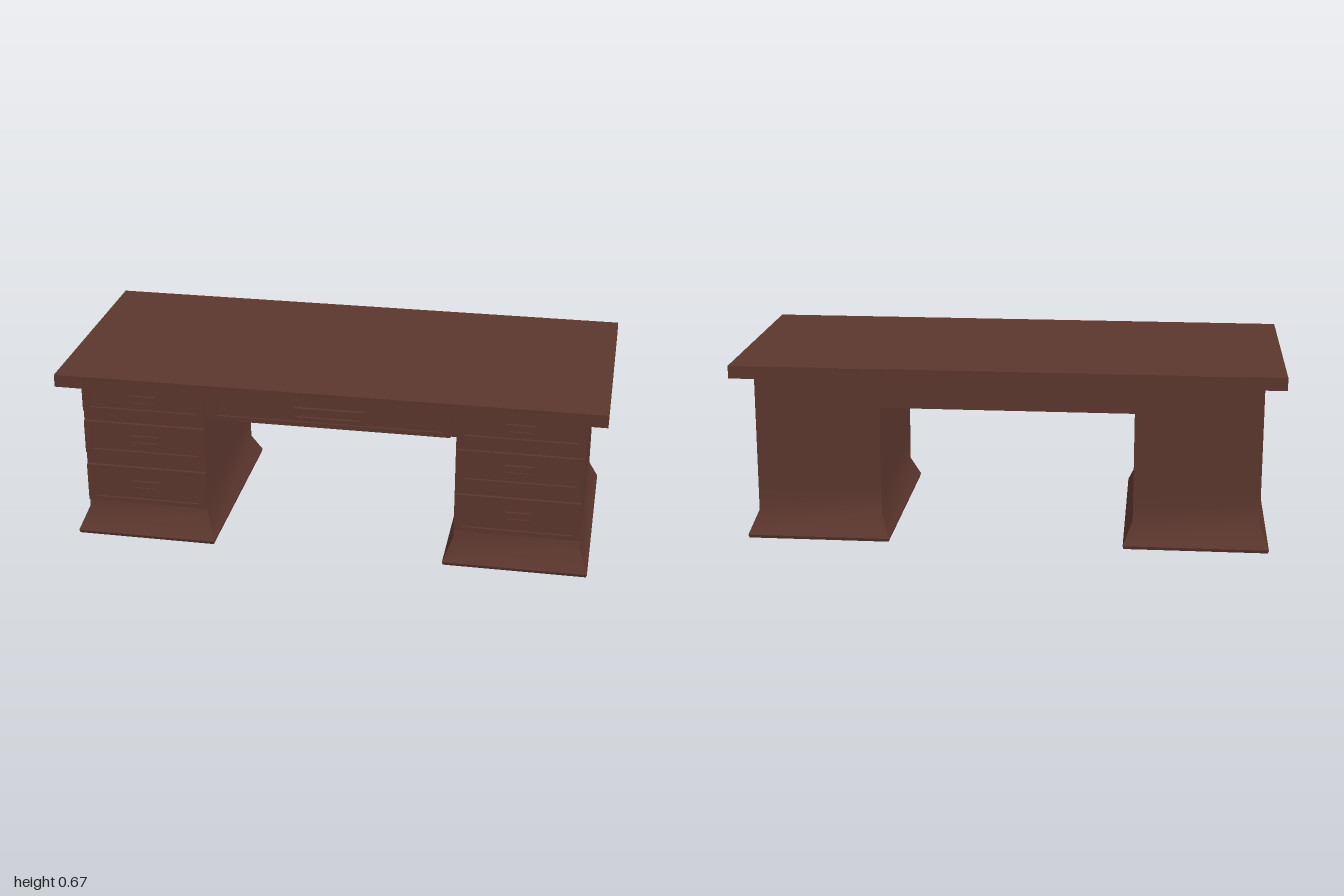
import * as THREE from 'three';

const wood = new THREE.MeshStandardMaterial({ color: 0x5c372e });
wood.name = 'dark brown wood';

function add(parent, name, geometry, x = 0, y = 0, z = 0) {
  const mesh = new THREE.Mesh(geometry, wood);
  mesh.name = name;
  mesh.position.set(x, y, z);
  parent.add(mesh);
  return mesh;
}

// Square column through levels of [y, half width, half depth], soft along its height
function column(levels) {
  const geometry = new THREE.BoxGeometry(2, 1, 2, 1, levels.length - 1, 1);
  const p = geometry.attributes.position;
  for (let i = 0; i < p.count; i++) {
    const [y, w, d] = levels[Math.round((p.getY(i) + 0.5) * (levels.length - 1))];
    p.setXYZ(i, p.getX(i) * w, y, p.getZ(i) * d);
  }
  geometry.computeVertexNormals();
  return geometry;
}

// Rectangular frame with a rectangular opening, facing +z
function frame(w, h, innerW, innerH, depth) {
  const rect = (Type, a, b) => new Type([
    new THREE.Vector2(-a / 2, -b / 2), new THREE.Vector2(a / 2, -b / 2),
    new THREE.Vector2(a / 2, b / 2), new THREE.Vector2(-a / 2, b / 2),
  ]);
  const shape = rect(THREE.Shape, w, h);
  shape.holes.push(rect(THREE.Path, innerW, innerH));
  return new THREE.ExtrudeGeometry(shape, { depth, bevelEnabled: false });
}

// Drawer: raised border, recessed panel and a small framed pull
function drawer(name, x, y, w, h, innerW, innerH, pullW, pullH, pullDepth) {
  const group = new THREE.Group();
  group.name = name;
  group.position.set(x, y, 0.35);
  add(group, 'drawerBorder', frame(w, h, innerW, innerH, 0.017));
  add(group, 'drawerPanel', new THREE.BoxGeometry(innerW, innerH, 0.01), 0, 0, 0.004);
  add(group, 'pullFrame', frame(pullW, pullH, pullW - 0.016, pullH - 0.014, pullDepth));
  add(group, 'pullInset', new THREE.BoxGeometry(pullW - 0.016, pullH - 0.014, 0.01), 0, 0, 0.007);
  return group;
}

export function createModel() {
  const desk = new THREE.Group();
  desk.name = 'desk';

  add(desk, 'deskTop', new THREE.BoxGeometry(2, 0.047, 0.885), 0, 0.6435, 0);
  add(desk, 'kneeholeApron', new THREE.BoxGeometry(0.94, 0.12, 0.71), 0, 0.56, 0);
  desk.add(drawer('centreDrawer', 0, 0.5525, 0.89, 0.105, 0.83, 0.07, 0.255, 0.042, 0.022));

  for (const side of [-1, 1]) {
    const pedestal = new THREE.Group();
    pedestal.name = side > 0 ? 'leftPedestal' : 'rightPedestal';
    pedestal.position.x = side * 0.696;

    // Body with a flared plinth and a thin tapered foot edge
    add(pedestal, 'pedestalBody', column([
      [0.012, 0.265, 0.408], [0.095, 0.231, 0.356], [0.2, 0.231, 0.356], [0.62, 0.231, 0.356],
    ]));
    add(pedestal, 'footEdge', column([[0, 0.262, 0.404], [0.012, 0.265, 0.408]]));

    // Three drawers: centre height, outer height
    [[0.2015, 0.149], [0.39, 0.13], [0.552, 0.11]].forEach(([y, h], i) => {
      const name = ['bottomDrawer', 'middleDrawer', 'topDrawer'][i];
      pedestal.add(drawer(name, 0, y, 0.46, h, 0.405, h - 0.034, 0.105, 0.034, 0.017));
    });
    desk.add(pedestal);
  }
  return desk;
}
